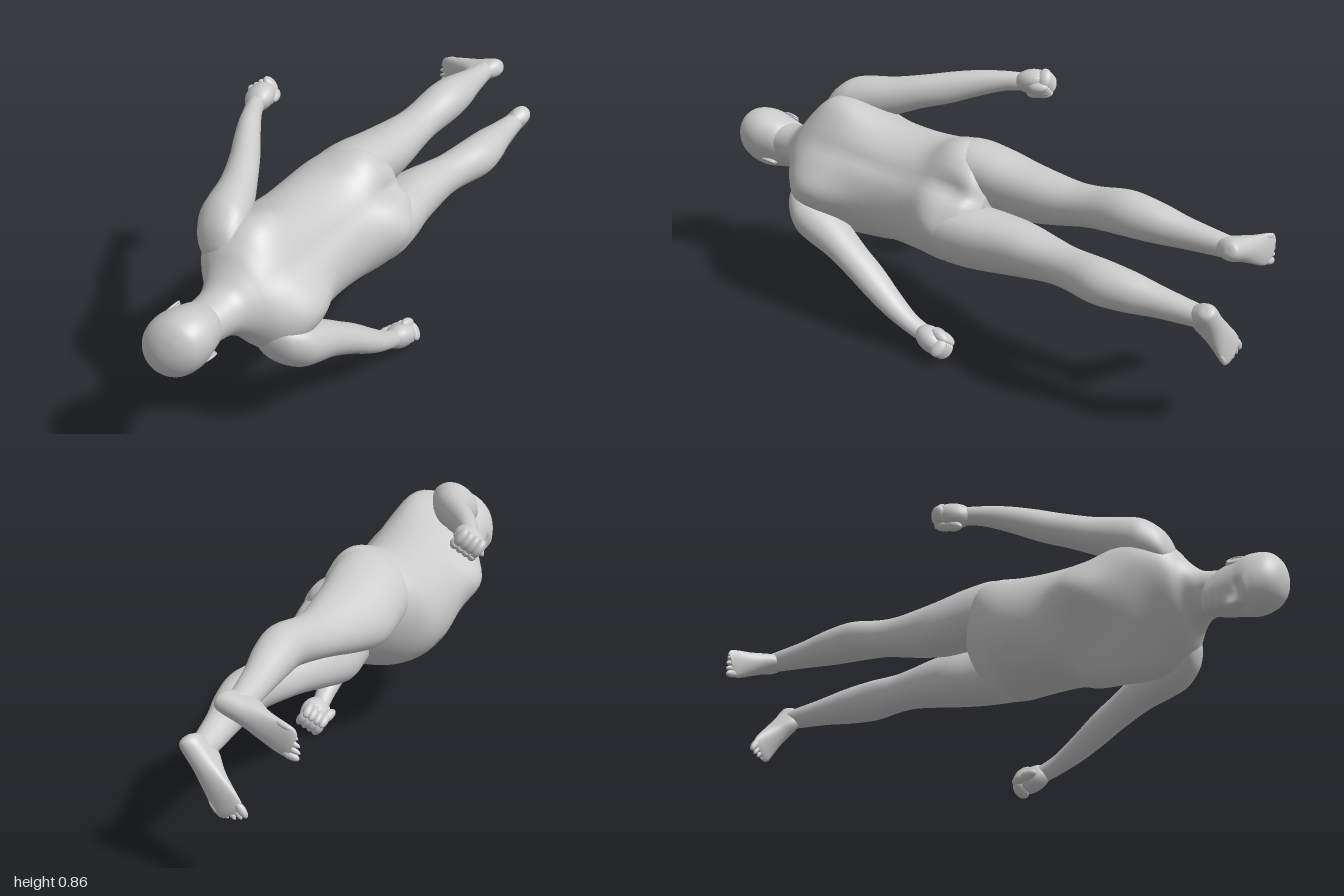
import * as THREE from 'three';

const material = new THREE.MeshStandardMaterial({ color: 0xcccccc, roughness: 0.8 });

// Smooth interpolation of one value between sections
function cubic(p0, p1, p2, p3, t) {
  const a = (p2 - p0) / 2, b = (p3 - p1) / 2, d = p1 - p2;
  return ((2 * d + a + b) * t + (-3 * d - 2 * a - b)) * t * t + a * t + p1;
}

// Closed skin over cross-sections [y, x, z, halfWidth, frontDepth, backDepth], y rising
function loft(sections, sides = 32, steps = 6) {
  const rings = [], last = sections.length - 1;
  for (let i = 0; i < last; i++) {
    for (let k = 0; k < steps; k++) {
      const [p0, p1, p2, p3] = [Math.max(i - 1, 0), i, i + 1, Math.min(i + 2, last)].map(n => sections[n]);
      rings.push(p1.map((_, c) => cubic(p0[c], p1[c], p2[c], p3[c], k / steps)));
    }
  }
  rings.push(sections[last]);
  const pos = [], index = [];
  for (const [y, x, z, w, front, back] of rings) {
    for (let j = 0; j < sides; j++) {
      const a = (j / sides) * Math.PI * 2, s = Math.sin(a);
      pos.push(x + w * Math.cos(a), y, z + (s > 0 ? front : back) * s);
    }
  }
  const bottom = pos.length / 3, first = rings[0], top = rings[rings.length - 1];
  pos.push(first[1], first[0], first[2], top[1], top[0], top[2]);
  for (let j = 0; j < sides; j++) {
    const n = (j + 1) % sides, t = (rings.length - 1) * sides;
    index.push(bottom, j, n, bottom + 1, t + n, t + j);
    for (let i = 0; i < rings.length - 1; i++) {
      const a = i * sides + j, b = i * sides + n;
      index.push(a, a + sides, b, b, a + sides, b + sides);
    }
  }
  const geo = new THREE.BufferGeometry();
  geo.setAttribute('position', new THREE.Float32BufferAttribute(pos, 3));
  geo.setIndex(index);
  geo.computeVertexNormals();
  return geo;
}

// Push the skin softly around a centre; each bump is [centre, radii, push]
function sculpt(geo, bumps) {
  const p = geo.attributes.position, v = new THREE.Vector3();
  for (let i = 0; i < p.count; i++) {
    v.fromBufferAttribute(p, i);
    const move = new THREE.Vector3();
    for (const [c, r, push] of bumps) {
      const d = ((v.x - c[0]) / r[0]) ** 2 + ((v.y - c[1]) / r[1]) ** 2 + ((v.z - c[2]) / r[2]) ** 2;
      move.addScaledVector(new THREE.Vector3(...push), Math.exp(-d));
    }
    v.add(move);
    p.setXYZ(i, v.x, v.y, v.z);
  }
  geo.computeVertexNormals();
  return geo;
}

// The same bump on both sides of the body
const pair = ([c, r, push]) => [1, -1].map(s => [[c[0] * s, c[1], c[2]], r, [push[0] * s, push[1], push[2]]]);

function add(parent, name, geo) {
  const mesh = new THREE.Mesh(geo, material);
  mesh.name = name;
  parent.add(mesh);
  return mesh;
}

function ball(parent, name, at, size, tilt = [0, 0, 0]) {
  const mesh = add(parent, name, new THREE.SphereGeometry(1, 20, 14));
  mesh.position.set(...at);
  mesh.scale.set(...size);
  mesh.rotation.set(...tilt);
  return mesh;
}

export function createModel() {
  const model = new THREE.Group();
  const body = new THREE.Group();
  body.name = 'body';
  model.add(body);

  // Torso and neck, with breasts, chest sides, buttocks, shoulder blades and spine groove
  add(body, 'torso', sculpt(loft([
    [-0.13, 0, -0.04, 0.1, 0.06, 0.08],
    [-0.09, 0, -0.03, 0.165, 0.12, 0.14],
    [-0.03, 0, -0.02, 0.2, 0.17, 0.16],
    [0.04, 0, 0, 0.207, 0.21, 0.18],
    [0.13, 0, 0.02, 0.2, 0.215, 0.19],
    [0.25, 0, 0.02, 0.195, 0.21, 0.19],
    [0.4, 0, 0, 0.198, 0.19, 0.185],
    [0.5, 0, -0.02, 0.21, 0.17, 0.17],
    [0.58, 0, -0.035, 0.215, 0.14, 0.15],
    [0.64, 0, -0.035, 0.175, 0.115, 0.13],
    [0.68, 0, -0.035, 0.12, 0.09, 0.105],
    [0.72, 0, -0.025, 0.084, 0.08, 0.088],
    [0.76, 0, -0.015, 0.073, 0.078, 0.088],
    [0.82, 0, -0.01, 0.068, 0.072, 0.085],
  ], 64, 6), [
    ...pair([[0.13, 0.4, 0.14], [0.09, 0.1, 0.1], [0.035, -0.02, 0.055]]),
    ...pair([[0.19, 0.5, 0.04], [0.08, 0.09, 0.09], [0.02, 0, 0.015]]),
    ...pair([[0.115, 0.005, -0.15], [0.1, 0.1, 0.1], [0.022, 0, -0.035]]),
    ...pair([[0.14, 0.51, -0.14], [0.08, 0.12, 0.09], [0.02, 0, -0.035]]),
    [[0, 0.35, -0.19], [0.03, 0.25, 0.06], [0, 0, 0.01]],
    [[0, -0.03, -0.19], [0.025, 0.08, 0.08], [0, 0, 0.03]],
    [[0, 0.14, 0.235], [0.015, 0.015, 0.05], [0, 0, -0.012]],
  ]));

  // Head with brow, eye sockets, nose, lips and chin, turned slightly to its left
  const head = new THREE.Group();
  head.name = 'head';
  head.rotation.y = 0.13;
  body.add(head);
  add(head, 'skull', sculpt(loft([
    [0.735, 0, 0.06, 0.025, 0.025, 0.04],
    [0.75, 0, 0.045, 0.05, 0.058, 0.07],
    [0.79, 0, 0.01, 0.073, 0.1, 0.095],
    [0.85, 0, 0, 0.088, 0.118, 0.12],
    [0.9, 0, 0, 0.097, 0.124, 0.132],
    [0.95, 0, -0.005, 0.088, 0.105, 0.115],
    [0.98, 0, -0.005, 0.063, 0.075, 0.082],
    [0.995, 0, -0.005, 0.033, 0.038, 0.04],
    [1, 0, -0.005, 0.006, 0.006, 0.006],
  ], 64, 8), [
    [[0, 0.836, 0.12], [0.016, 0.018, 0.05], [0, -0.004, 0.024]],
    [[0, 0.86, 0.12], [0.01, 0.025, 0.05], [0, 0, 0.01]],
    ...pair([[0.038, 0.868, 0.11], [0.02, 0.013, 0.04], [0, 0, -0.012]]),
    ...pair([[0.035, 0.892, 0.115], [0.03, 0.01, 0.04], [0, 0, 0.005]]),
    [[0, 0.798, 0.115], [0.024, 0.009, 0.04], [0, 0, 0.01]],
    [[0, 0.76, 0.1], [0.025, 0.015, 0.04], [0, 0, 0.01]],
  ]));

  for (const s of [1, -1]) {
    const side = s > 0 ? 'left' : 'right';

    // Ear: shell with a raised rim
    ball(head, side + 'Ear', [s * 0.086, 0.85, -0.012], [0.008, 0.03, 0.018], [-0.15, s * -0.1, 0]);
    const rim = add(head, side + 'EarRim', new THREE.TorusGeometry(0.018, 0.004, 8, 20));
    rim.position.set(s * 0.091, 0.853, -0.013);
    rim.rotation.y = Math.PI / 2 - s * 0.1;
    rim.scale.y = 1.4;

    // Arm
    add(body, side + 'Arm', loft([
      [0.03, 0.453, 0.085, 0.03, 0.03, 0.03],
      [0.09, 0.435, 0.064, 0.034, 0.034, 0.034],
      [0.17, 0.398, 0.038, 0.046, 0.043, 0.043],
      [0.25, 0.354, 0.012, 0.056, 0.051, 0.051],
      [0.33, 0.312, -0.013, 0.059, 0.057, 0.057],
      [0.43, 0.262, -0.034, 0.068, 0.07, 0.07],
      [0.52, 0.228, -0.046, 0.078, 0.085, 0.085],
      [0.575, 0.205, -0.05, 0.08, 0.088, 0.088],
      [0.625, 0.175, -0.048, 0.062, 0.07, 0.07],
      [0.648, 0.15, -0.045, 0.035, 0.04, 0.04],
      [0.654, 0.14, -0.045, 0.01, 0.01, 0.01],
    ].map(([y, x, ...rest]) => [y, x * s, ...rest])));

    // Closed hand
    const hand = new THREE.Group();
    hand.name = side + 'Hand';
    hand.position.set(s * 0.458, -0.005, 0.09);
    hand.rotation.set(-0.25, 0, s * 0.3);
    body.add(hand);
    ball(hand, 'palm', [s * 0.006, 0.005, 0], [0.042, 0.064, 0.054]);
    for (let i = 0; i < 4; i++) {
      const z = 0.033 - i * 0.022;
      ball(hand, 'knuckle', [s * 0.008, -0.04, z], [0.034, 0.024, 0.017]);
      ball(hand, 'finger', [s * -0.024, -0.02, z], [0.018, 0.034, 0.016]);
    }
    ball(hand, 'thumb', [s * -0.022, 0.005, 0.038], [0.018, 0.038, 0.018], [0.35, 0, 0]);

    // Leg
    add(body, side + 'Leg', loft([
      [-0.98, 0.11, -0.055, 0.03, 0.035, 0.035],
      [-0.9, 0.11, -0.06, 0.038, 0.043, 0.043],
      [-0.8, 0.11, -0.07, 0.049, 0.05, 0.053],
      [-0.7, 0.112, -0.083, 0.064, 0.062, 0.068],
      [-0.6, 0.112, -0.088, 0.071, 0.07, 0.075],
      [-0.48, 0.102, -0.066, 0.066, 0.08, 0.074],
      [-0.4, 0.095, -0.05, 0.071, 0.09, 0.084],
      [-0.3, 0.091, -0.035, 0.085, 0.113, 0.11],
      [-0.2, 0.092, -0.023, 0.097, 0.132, 0.135],
      [-0.1, 0.1, -0.028, 0.104, 0.132, 0.15],
      [0, 0.104, -0.035, 0.104, 0.125, 0.15],
      [0.1, 0.1, -0.03, 0.08, 0.1, 0.11],
    ].map(([y, x, ...rest]) => [y, x * s, ...rest])));

    // Foot, turned slightly outward, with toes
    const foot = new THREE.Group();
    foot.name = side + 'Foot';
    foot.position.set(s * 0.11, -1, -0.055);
    foot.rotation.y = s * 0.3;
    body.add(foot);
    add(foot, 'instep', loft([
      [-0.06, 0, -0.03, 0.01, 0.01, 0.01],
      [-0.053, 0, -0.03, 0.024, 0.026, 0.028],
      [-0.03, 0, -0.033, 0.034, 0.033, 0.055],
      [0.03, 0, -0.03, 0.037, 0.03, 0.075],
      [0.09, 0, -0.02, 0.043, 0.02, 0.048],
      [0.15, 0, -0.014, 0.05, 0.014, 0.026],
      [0.185, 0, -0.012, 0.049, 0.012, 0.015],
      [0.2, 0, -0.011, 0.036, 0.008, 0.009],
    ]).rotateX(Math.PI / 2));
    for (let i = 0; i < 5; i++) {
      const big = i === 0 ? 1.4 : 1;
      ball(foot, 'toe', [s * (-0.036 + i * 0.0195), 0.012, 0.2 - i * i * 0.0025],
        [0.0095 * big, 0.0085 * big, 0.03]);
    }
  }

  // Lay the standing figure down, head to +z, chest turned to the lower side
  body.quaternion.setFromRotationMatrix(new THREE.Matrix4().makeBasis(
    new THREE.Vector3(0.6, -0.8, 0), new THREE.Vector3(0, 0, 1), new THREE.Vector3(-0.8, -0.6, 0)));
  body.position.set(0.07, 0.473, 0);
  return model;
}
